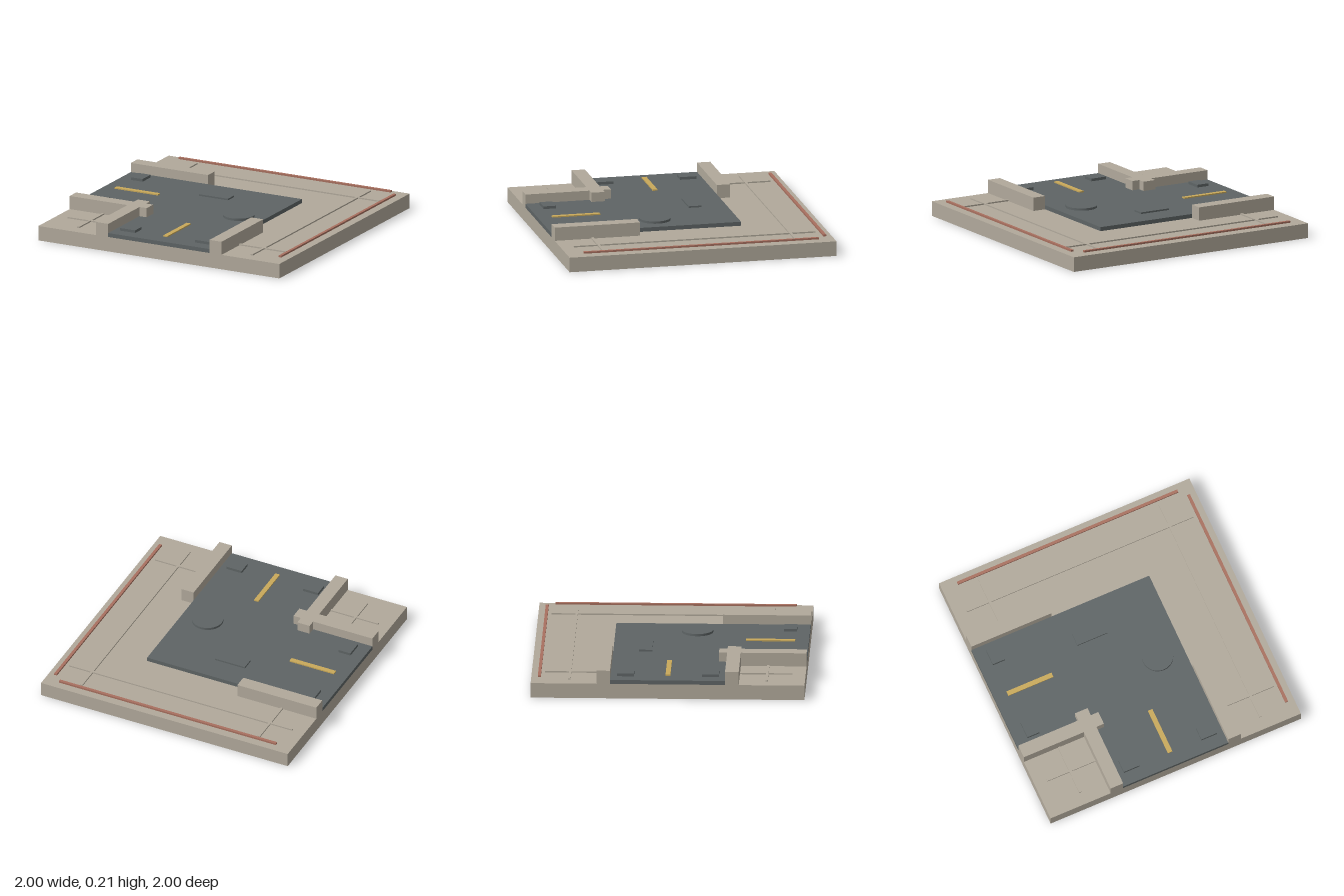
import * as THREE from 'three';

const mat = (name, color) => new THREE.MeshStandardMaterial({ name, color });

export function createModel() {
  const model = new THREE.Group();
  model.name = 'roadCornerTile';
  const stone = mat('stone', 0xb1a99b);
  const asphalt = mat('asphalt', 0x5e6465);
  const yellow = mat('laneYellow', 0xc9a95a);
  const red = mat('brickRed', 0xa8705f);

  const add = (name, geometry, material) => {
    const mesh = new THREE.Mesh(geometry, material);
    mesh.name = name;
    model.add(mesh);
    return mesh;
  };
  // Box given by its extents on each axis
  const block = (name, material, [x0, x1], [y0, y1], [z0, z1]) =>
    add(name, new THREE.BoxGeometry(x1 - x0, y1 - y0, z1 - z0), material)
      .position.set((x0 + x1) / 2, (y0 + y1) / 2, (z0 + z1) / 2);

  const ground = 0.11, road = 0.14;
  block('baseSlab', stone, [-1, 1], [0, ground], [-1, 1]);

  // L-shaped road: one arm to the right edge, one to the front edge
  const outline = [[-1, 0.42], [0.42, 0.42], [0.42, -1], [-0.42, -1], [-0.42, -0.42], [-1, -0.42]];
  const shape = new THREE.Shape(outline.map(([x, y]) => new THREE.Vector2(x, y)));
  const roadGeometry = new THREE.ExtrudeGeometry(shape, { depth: road - ground, bevelEnabled: false });
  add('road', roadGeometry.rotateX(-Math.PI / 2), asphalt).position.y = ground;

  // Low walls along both arms
  const wall = [ground, 0.21];
  block('backWall', stone, [-1, -0.36], wall, [-0.52, -0.42]);
  block('innerWallAcross', stone, [-1, -0.36], wall, [0.42, 0.52]);
  block('innerWallAlong', stone, [-0.52, -0.42], wall, [0.36, 1]);
  block('leftWall', stone, [0.42, 0.52], wall, [0.36, 1]);

  // Raised paving seams
  for (const c of [-0.72, 0.72]) {
    const seam = [c - 0.009, c + 0.009], span = [-0.905, 0.905];
    block('seamAcross', stone, span, [ground, 0.12], seam);
    block('seamAlong', stone, seam, [ground, 0.12], span);
  }

  // Red edging on the two outer sides
  block('backEdging', red, [-0.88, 0.88], [0.12, 0.133], [-0.951, -0.929]);
  block('leftEdging', red, [0.929, 0.951], [0.12, 0.133], [-0.88, 0.88]);

  // Lane markings
  block('laneMarkAcross', yellow, [-0.9, -0.54], [0.145, 0.154], [-0.018, 0.018]);
  block('laneMarkAlong', yellow, [-0.018, 0.018], [0.145, 0.154], [0.54, 0.9]);

  // Patches and covers on the road
  for (const s of [-1, 1]) {
    const side = [s * 0.31 - 0.062, s * 0.31 + 0.062];
    block('frontPatch', asphalt, side, [road, 0.16], [0.81, 0.905]);
    block('sidePatch', asphalt, [-0.905, -0.81], [road, 0.16], side);
  }
  block('drainCover', asphalt, [-0.28, -0.04], [road, 0.152], [-0.23, -0.135]);
  add('roundCover', new THREE.CylinderGeometry(0.115, 0.115, 0.017, 32), asphalt)
    .position.set(0.22, 0.1485, 0.18);

  return model;
}
